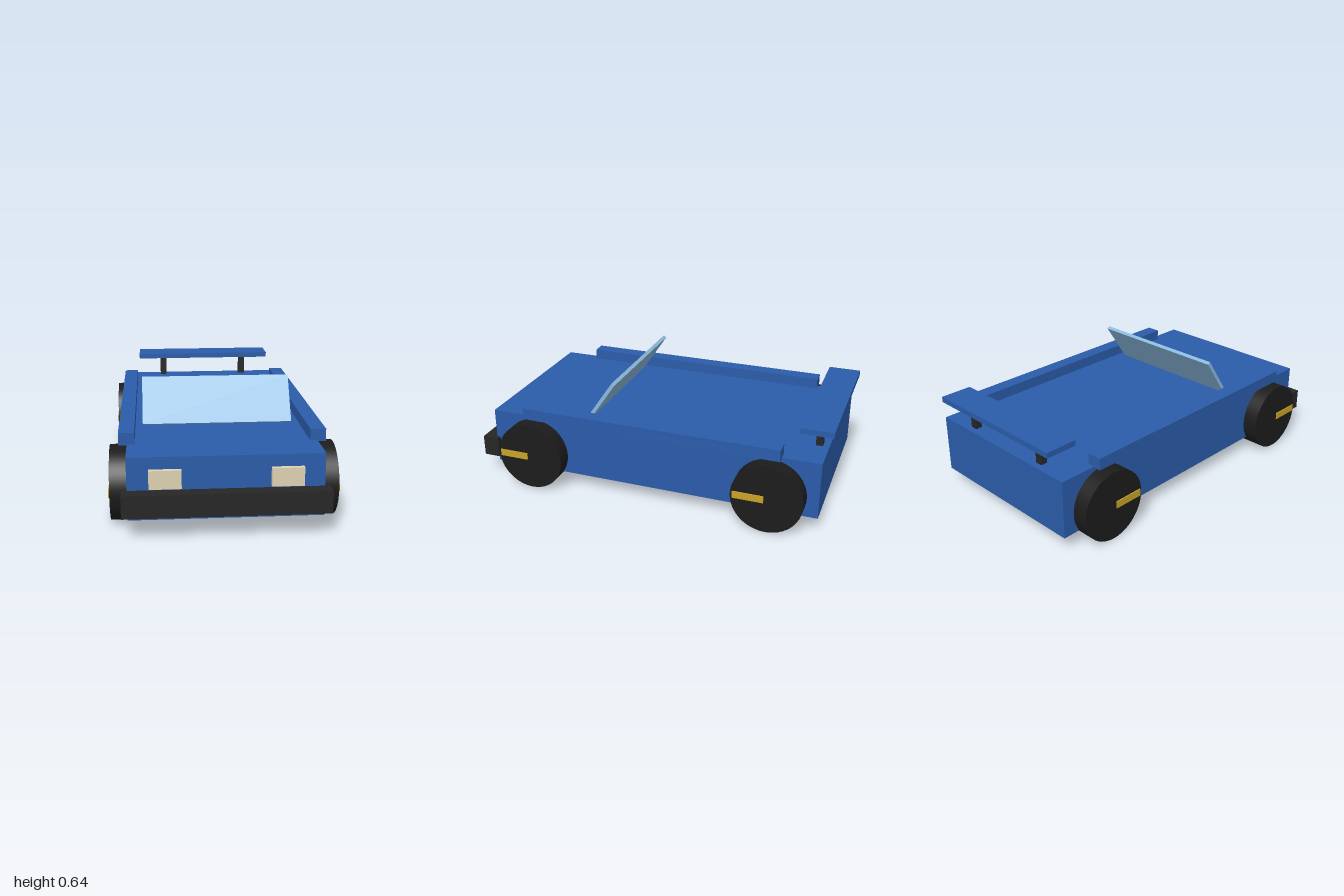
import * as THREE from 'three';

const mat = (color) => new THREE.MeshStandardMaterial({ color });

export function createModel() {
  const car = new THREE.Group();
  car.name = 'car';
  const blue = mat(0x2a5caa), black = mat(0x262626), rubber = mat(0x1c1c1c);
  const glass = mat(0x8ab8dc), cream = mat(0xdfd3b3), gold = mat(0xc9a227);

  const add = (name, geometry, material, x, y, z) => {
    const mesh = new THREE.Mesh(geometry, material);
    mesh.name = name;
    mesh.position.set(x, y, z);
    car.add(mesh);
    return mesh;
  };
  // Box given by its lower and upper corners
  const box = (name, material, [x0, y0, z0], [x1, y1, z1]) =>
    add(name, new THREE.BoxGeometry(x1 - x0, y1 - y0, z1 - z0), material,
      (x0 + x1) / 2, (y0 + y1) / 2, (z0 + z1) / 2);

  // Body slab and front bumper
  box('body', blue, [-0.485, 0.088, -0.96], [0.485, 0.41, 0.925]);
  box('bumper', black, [-0.512, 0.125, 0.905], [0.512, 0.242, 1]);

  // Windshield leaning back
  const windshield = add('windshield', new THREE.BoxGeometry(0.812, 0.276, 0.02), glass, 0, 0.525, 0.292);
  windshield.rotation.x = -0.6;

  // Rear wing
  box('wing', blue, [-0.432, 0.535, -1], [0.432, 0.566, -0.822]);

  // Wheel lying along x
  const wheelGeometry = new THREE.CylinderGeometry(0.194, 0.194, 0.168, 48).rotateZ(Math.PI / 2);

  for (const [side, s] of [['left', 1], ['right', -1]]) {
    const sideBox = (name, material, width, x, y0, y1, z0, z1) =>
      box(side + name, material, [s * x - width / 2, y0, z0], [s * x + width / 2, y1, z1]);

    sideBox('Rail', blue, 0.081, 0.486, 0.405, 0.47, -0.752, 0.715);
    sideBox('Headlight', cream, 0.16, 0.299, 0.253, 0.348, 0.91, 0.95);
    sideBox('WingPost', black, 0.04, 0.27, 0.405, 0.54, -0.925, -0.888);

    // Wheels with an off-centre hub bar on the outer face
    for (const [end, z] of [['Front', 0.667], ['Rear', -0.701]]) {
      add(side + end + 'Wheel', wheelGeometry, rubber, s * 0.488, 0.197, z);
      sideBox(end + 'HubBar', gold, 0.02, 0.568, 0.178, 0.217, z + 0.014, z + 0.182);
    }
  }
  return car;
}
